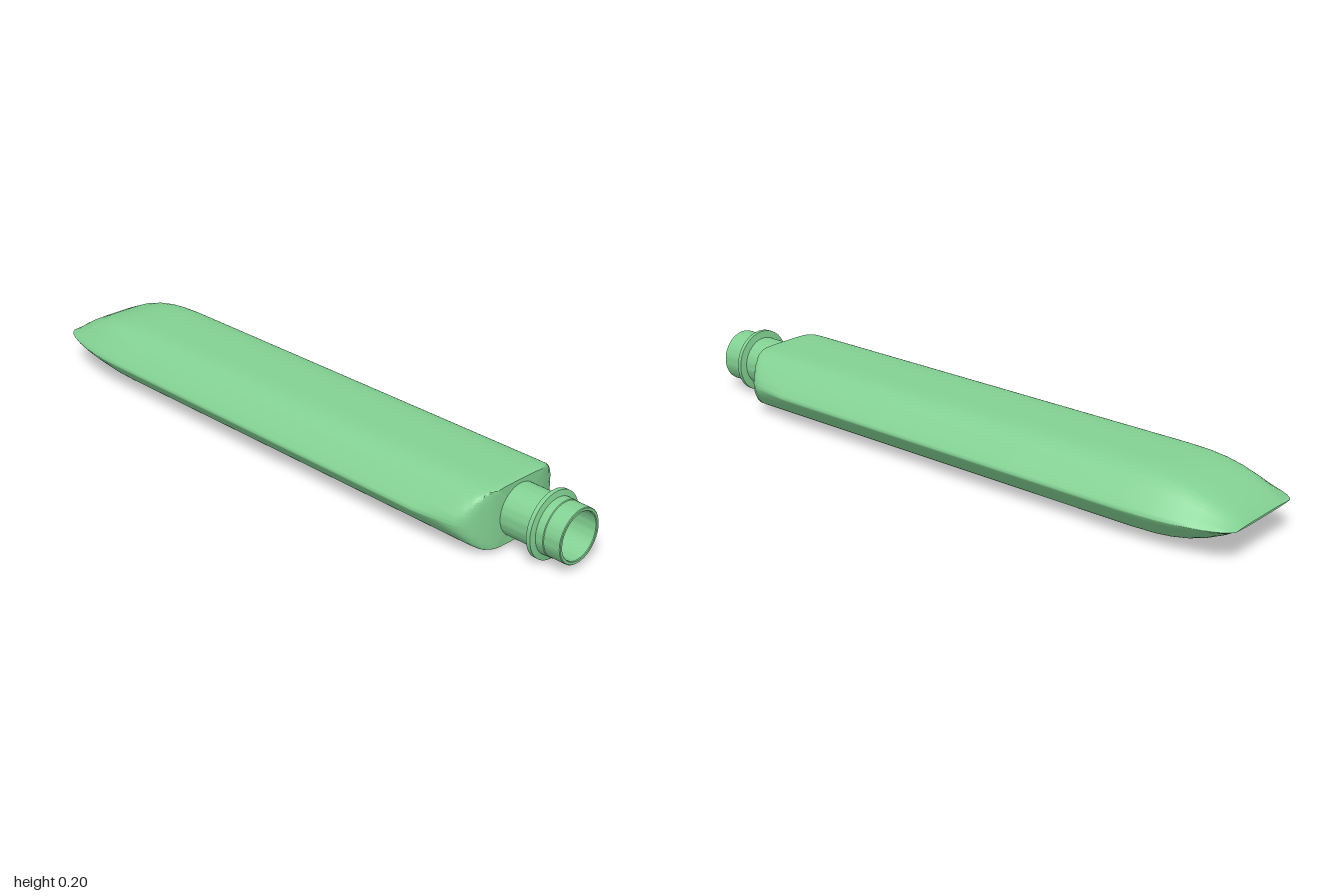
import * as THREE from 'three';
import { toCreasedNormals } from 'three/addons/utils/BufferGeometryUtils.js';

const AXIS_Y = 0.102;

const green = new THREE.MeshStandardMaterial({ color: 0x82d092 });
green.name = 'soft green';
const grey = new THREE.MeshStandardMaterial({ color: 0xd4d4d4 });
grey.name = 'light grey';

// Closed cross-section of the flask: flat top and bottom, bevelled sides, [z, y]
function bodySection() {
  const quarter = [[0.212, 0], [0.203, 0.015], [0.176, 0.044], [0.148, 0.07],
    [0.122, 0.085], [0.085, 0.092], [0, 0.094]];
  const half = [...quarter, ...quarter.slice(0, -1).reverse().map(([z, y]) => [-z, y])];
  const ring = [...half, ...half.slice(1, -1).reverse().map(([z, y]) => [z, -y])];
  const curve = new THREE.CatmullRomCurve3(
    ring.map(([z, y]) => new THREE.Vector3(0, y, z)), true);
  return curve.getPoints(96).slice(0, 96);
}

// Loft of the section along x; each station is [x, half width, half height]
function bodyGeometry() {
  const stations = [
    [-1, 0.135, 0.003], [-0.99, 0.148, 0.012], [-0.975, 0.16, 0.023], [-0.95, 0.172, 0.038],
    [-0.9, 0.188, 0.061], [-0.85, 0.199, 0.077], [-0.8, 0.206, 0.087], [-0.75, 0.21, 0.092],
    [-0.68, 0.212, 0.094], [-0.3, 0.212, 0.094], [0.2, 0.212, 0.094], [0.6, 0.212, 0.094],
    [0.68, 0.211, 0.094], [0.71, 0.207, 0.094], [0.735, 0.198, 0.094], [0.755, 0.182, 0.094],
    [0.77, 0.162, 0.094], [0.782, 0.138, 0.0935], [0.792, 0.108, 0.092], [0.797, 0.09, 0.09]];
  const section = bodySection();
  const n = section.length;
  const pos = [];
  const index = [];
  stations.forEach(([x, w, h]) => {
    for (const p of section) {
      let z = p.z * w / 0.212;
      if (x > 0.65) {
        // the shoulder trims the sides instead of squeezing the section
        const k = 14;
        const m = Math.abs(p.z);
        const limit = w < 0.2115 ? w : 1;
        z = Math.sign(p.z) * m / Math.pow(1 + Math.pow(m / limit, k), 1 / k);
      }
      pos.push(x, AXIS_Y + p.y * h / 0.094, z);
    }
  });
  for (let i = 0; i < stations.length - 1; i++) {
    for (let j = 0; j < n; j++) {
      const a = i * n + j;
      const b = i * n + (j + 1) % n;
      index.push(a, b, a + n, b, b + n, a + n);
    }
  }
  // end faces
  const last = (stations.length - 1) * n;
  const tip = pos.length / 3;
  pos.push(-1, AXIS_Y, 0, 0.798, AXIS_Y, 0);
  for (let j = 0; j < n; j++) {
    const k = (j + 1) % n;
    index.push(tip, k, j, tip + 1, last + j, last + k);
  }
  const geo = new THREE.BufferGeometry();
  geo.setAttribute('position', new THREE.Float32BufferAttribute(pos, 3));
  geo.setIndex(index);
  // make sure the winding faces outward
  let volume = 0;
  const a = new THREE.Vector3(), b = new THREE.Vector3(), c = new THREE.Vector3();
  for (let i = 0; i < index.length; i += 3) {
    a.fromArray(pos, index[i] * 3);
    b.fromArray(pos, index[i + 1] * 3);
    c.fromArray(pos, index[i + 2] * 3);
    volume += a.dot(b.cross(c));
  }
  if (volume < 0) geo.setIndex(index.slice().reverse());
  return toCreasedNormals(geo, 0.7);
}

// Hollow neck with flange and lip, turned around the long axis, [radius, x]
function neckGeometry() {
  const profile = [[0.078, 0.78], [0.078, 0.9], [0.1, 0.904], [0.1, 0.917], [0.083, 0.921],
    [0.083, 0.945], [0.081, 0.947], [0.081, 0.998], [0.079, 1], [0.072, 1],
    [0.07, 0.998], [0.07, 0.8]];
  const geo = new THREE.LatheGeometry(profile.map(([r, x]) => new THREE.Vector2(r, x)), 64);
  return toCreasedNormals(geo.rotateZ(-Math.PI / 2), 0.6);
}

export function createModel() {
  const model = new THREE.Group();
  model.name = 'flatFlask';
  const add = (name, geometry, material) => {
    const mesh = new THREE.Mesh(geometry, material);
    mesh.name = name;
    model.add(mesh);
    return mesh;
  };
  add('body', bodyGeometry(), green);
  add('neck', neckGeometry(), green).position.y = AXIS_Y;

  // floor inside the neck
  const floor = add('neckFloor', new THREE.CircleGeometry(0.071, 64), grey);
  floor.rotation.y = Math.PI / 2;
  floor.position.set(0.803, AXIS_Y, 0);
  return model;
}
